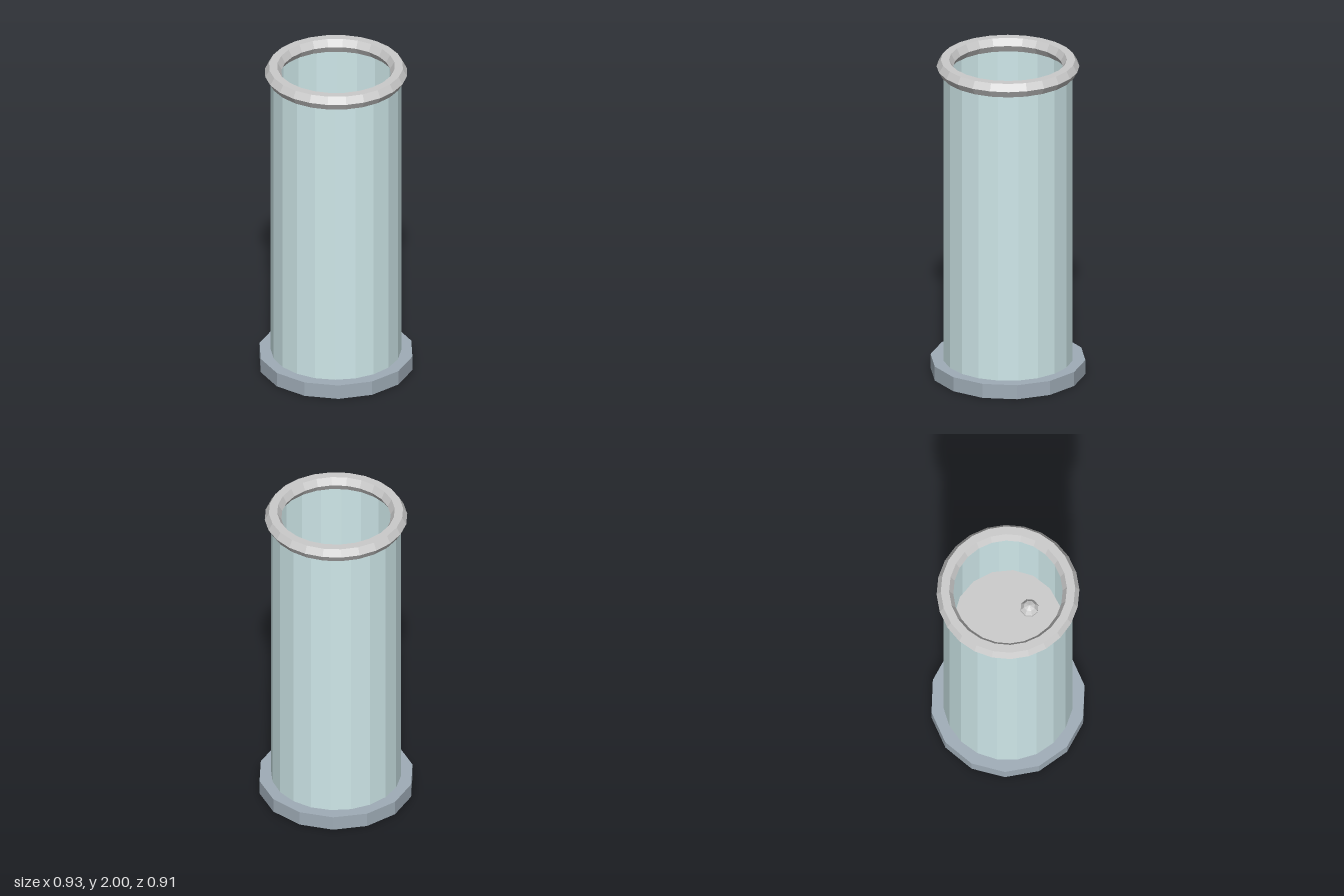
import * as THREE from 'three';

const material = (color, extra = {}) =>
  new THREE.MeshStandardMaterial({ color, flatShading: true, ...extra });

export function createModel() {
  const group = new THREE.Group();
  const grey = material(0xcccccc);

  const add = (name, geometry, mat, x, y, z) => {
    const mesh = new THREE.Mesh(geometry, mat);
    mesh.name = name;
    mesh.position.set(x, y, z);
    group.add(mesh);
    return mesh;
  };

  // Broad 14-sided foot with corners on the x axis
  const baseHeight = 0.09;
  add('base',
    new THREE.CylinderGeometry(0.465, 0.465, baseHeight, 14, 1, false, Math.PI / 2),
    material(0xa0adb8), 0, baseHeight / 2, 0);

  // Open glass wall, seen from inside and outside
  const rimY = 1.957;
  const glassHeight = rimY - baseHeight;
  add('glassTube',
    new THREE.CylinderGeometry(0.39, 0.39, glassHeight, 20, 1, true),
    material(0xcfe8ea, { side: THREE.DoubleSide }), 0, baseHeight + glassHeight / 2, 0);

  // Liquid column inside the glass
  const liquidTop = 1.45;
  const liquidHeight = liquidTop - baseHeight;
  add('liquid',
    new THREE.CylinderGeometry(0.325, 0.325, liquidHeight, 16),
    grey, 0, baseHeight + liquidHeight / 2, 0);

  // Small bubble breaking the surface
  add('bubble', new THREE.SphereGeometry(0.058, 8, 5), grey, 0.13, liquidTop, 0.076);

  // Six-sided ring around the mouth
  const rim = new THREE.TorusGeometry(0.377, 0.05, 6, 24).rotateX(-Math.PI / 2);
  add('rimRing', rim, grey, 0, rimY, 0);

  return group;
}
